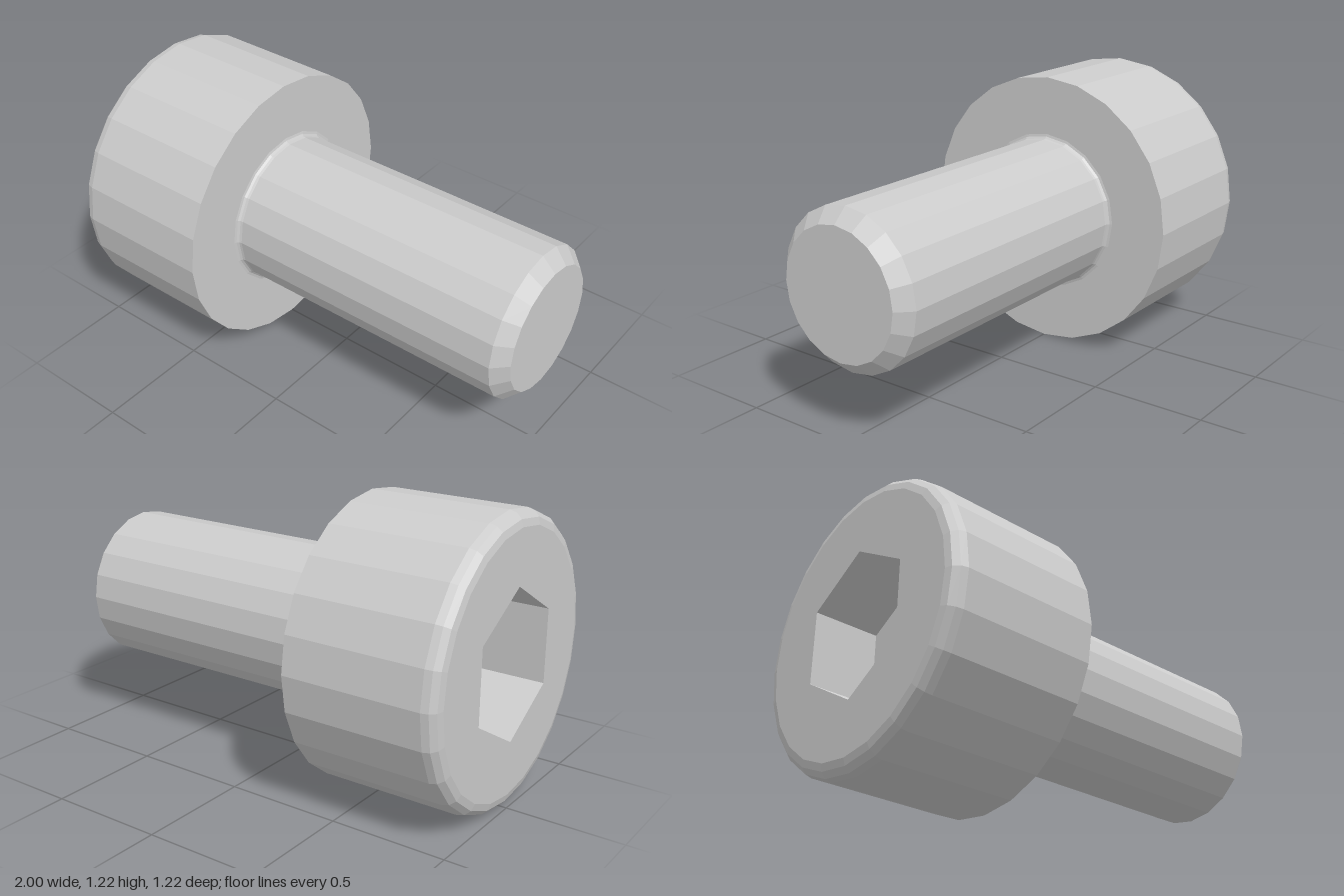
import * as THREE from 'three';

const HEAD_SIDES = 24, SHANK_SIDES = 20;
const HEAD_R = 0.61, SHANK_R = 0.333, SOCKET_R = 0.32;
const FACE = -1, SEAT = -0.333, TIP = 1; // positions along the screw axis
const ROUND = 0.06, FILLET = 0.022;

export function createModel() {
  const material = new THREE.MeshStandardMaterial({ color: 0xcccccc, flatShading: true });
  const screw = new THREE.Group();
  screw.name = 'socketHeadScrew';

  const add = (name, geometry) => {
    const mesh = new THREE.Mesh(geometry, material);
    mesh.name = name;
    screw.add(mesh);
  };
  const lathe = (profile, sides, start = 0) =>
    new THREE.LatheGeometry(profile.map(([r, h]) => new THREE.Vector2(r, h)), sides, start);
  const ring = (radius, sides) => Array.from({ length: sides }, (_, i) => {
    const a = (i / sides) * Math.PI * 2;
    return new THREE.Vector2(radius * Math.cos(a), radius * Math.sin(a));
  });
  // Quarter arc as profile points
  const arc = (r, h, radius, from, to, steps) => Array.from({ length: steps + 1 }, (_, i) => {
    const a = from + ((to - from) * i) / steps;
    return [r + radius * Math.cos(a), h + radius * Math.sin(a)];
  });

  // Head: rounded outer edge, cylindrical side, flat seat under the head
  add('head', lathe([
    ...arc(HEAD_R - ROUND, FACE + ROUND, ROUND, -Math.PI / 2, 0, 3),
    [HEAD_R, SEAT],
    [SHANK_R - 0.03, SEAT],
  ], HEAD_SIDES));

  // Outer face of the head with the hexagonal opening
  const face = new THREE.Shape(ring(HEAD_R - ROUND, HEAD_SIDES));
  face.holes.push(new THREE.Path(ring(SOCKET_R, 6)));
  add('headFace', new THREE.ShapeGeometry(face).rotateX(Math.PI / 2).translate(0, FACE, 0));

  // Hex socket: floor and inward-facing walls
  add('hexSocket', lathe(
    [[0, FACE + 0.29], [SOCKET_R, FACE + 0.29], [SOCKET_R, FACE]], 6, Math.PI / 2));

  // Shank: small fillet at the head, chamfered flat tip
  add('shank', lathe([
    ...arc(SHANK_R + FILLET, SEAT + FILLET, FILLET, Math.PI * 1.5, Math.PI, 3),
    [SHANK_R, TIP - 0.06],
    [SHANK_R - 0.06, TIP],
    [0, TIP],
  ], SHANK_SIDES));

  // Lay the screw on its side, head towards -x
  screw.rotation.z = -Math.PI / 2;
  screw.position.y = HEAD_R;
  const model = new THREE.Group();
  model.name = 'screwModel';
  model.add(screw);
  return model;
}
